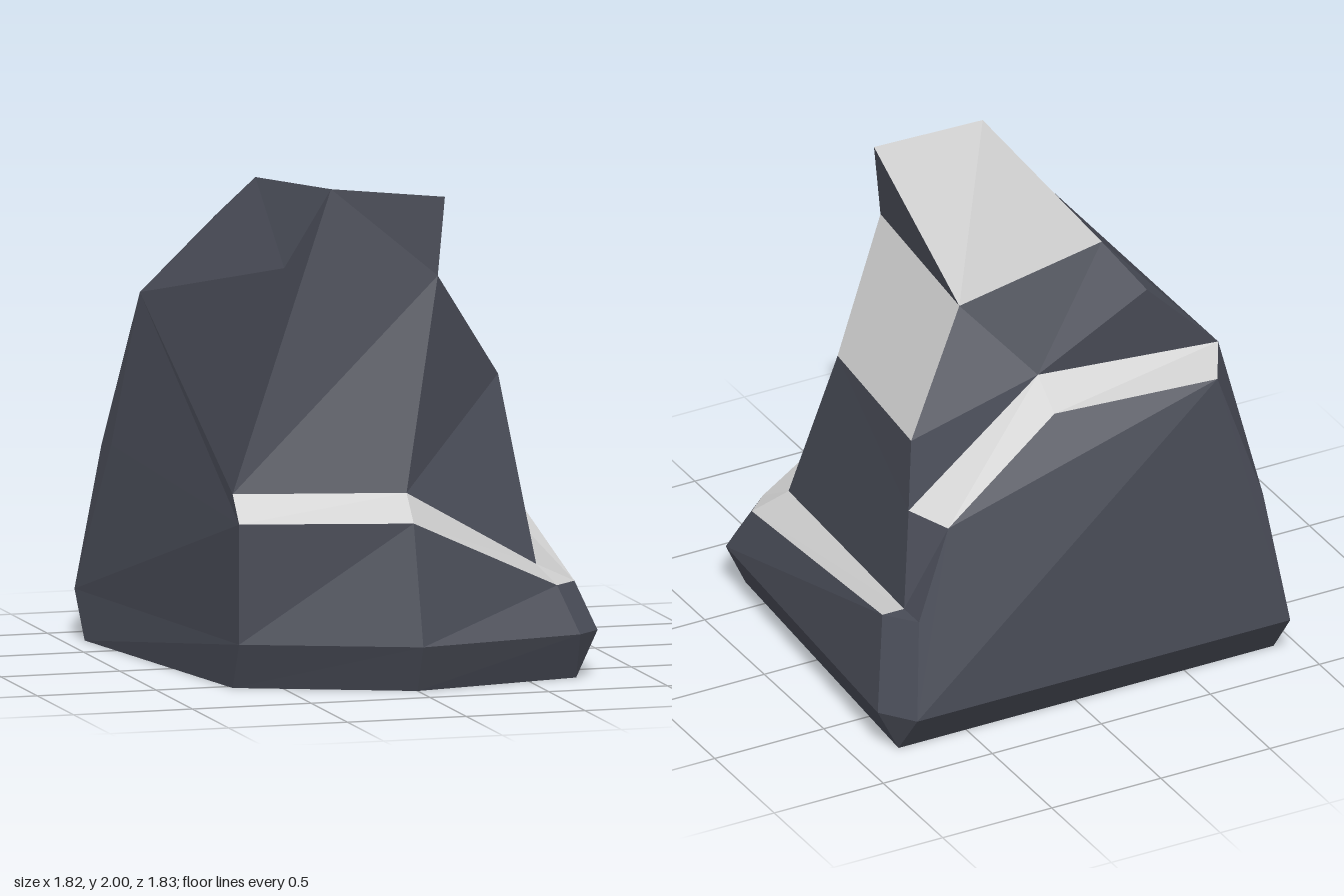
import * as THREE from 'three';

const stone = new THREE.MeshStandardMaterial({ color: 0x484b56, flatShading: true });
const worn = new THREE.MeshStandardMaterial({ color: 0xcccccc, flatShading: true });
const core = new THREE.Vector3(0, 0.3, 0);
const v = (x, y, z) => new THREE.Vector3(x, y, z);

// Triangulates one outward-facing facet from its corner loop
function facet(corners, out) {
  const n = v(0, 0, 0), mid = v(0, 0, 0);
  corners.forEach((p, i) => {
    n.add(p.clone().cross(corners[(i + 1) % corners.length]));
    mid.addScaledVector(p, 1 / corners.length);
  });
  n.normalize();
  if (n.dot(mid.clone().sub(core)) < 0) n.negate();
  const u = (Math.abs(n.y) < 0.9 ? v(0, 1, 0) : v(1, 0, 0)).cross(n).normalize();
  const w = n.clone().cross(u);
  const flat = corners.map(p => new THREE.Vector2(p.dot(u), p.dot(w)));
  for (const t of THREE.ShapeUtils.triangulateShape(flat, [])) {
    let [a, b, c] = t.map(i => corners[i]);
    if (b.clone().sub(a).cross(c.clone().sub(a)).dot(n) < 0) [b, c] = [c, b];
    for (const p of [a, b, c]) out.push(p.x, p.y, p.z);
  }
}

// Facets between two corner rows; repeated corners collapse to triangles
function band(lower, upper) {
  const faces = [];
  for (let i = 0; i < lower.length - 1; i++) {
    faces.push([...new Set([lower[i], lower[i + 1], upper[i + 1], upper[i]])]);
  }
  return faces;
}

export function createModel() {
  const rock = new THREE.Group();
  rock.name = 'rock';
  const part = (name, material, faces) => {
    const out = [];
    faces.forEach(f => facet(f, out));
    const geometry = new THREE.BufferGeometry();
    geometry.setAttribute('position', new THREE.Float32BufferAttribute(out, 3));
    geometry.computeVertexNormals();
    const mesh = new THREE.Mesh(geometry, material);
    mesh.name = name;
    rock.add(mesh);
  };

  // Underside and foot rim, from back left around the front to back right
  const base = [v(-0.91, 0, -0.78), v(-0.69, 0, 0.54), v(0, 0, 0.83), v(0.71, 0, 0.69), v(0.81, 0, -0.78)];
  const rim = [
    v(-0.91, 0.19, -0.92), v(-0.69, 0.19, 0.63), v(0, 0.19, 0.91), v(0.7, 0.19, 0.78),
    v(0.8, 0.19, 0.69), v(0.905, 0.19, -0.78), v(0.8, 0.19, -0.92),
  ];
  const [b0, b1, b2, b3, b4] = base;

  // Front ledge: outer and inner edge, left to right
  const outer = [v(-0.69, 0.68, 0.63), v(-0.01, 0.68, 0.81), v(0.63, 0.38, 0.69), v(0.73, 0.38, 0.6), v(0.835, 0.58, -0.69)];
  const k = v(0.58, 0.45, 0.565);
  const inner = [v(-0.69, 0.79, 0.54), v(-0.01, 0.79, 0.71), k, k, v(0.735, 0.58, -0.69)];
  const ledgeEnd = inner[4];
  const backCorner = v(0.735, 0.58, -0.815);

  // Back ledge: outer and inner edge, left to right
  const backOuter = [v(-0.62, 1.35, -0.84), v(0.04, 1.29, -0.68), v(0.56, 0.93, -0.74)];
  const backInner = [v(-0.705, 1.425, -0.69), v(0.04, 1.4, -0.54), v(0.66, 0.965, -0.59)];
  const chip = [v(-0.81, 0.78, -0.875), v(-0.81, 0.8, -0.74)];

  // Peak, shoulder and the two upper left corners
  const peak = [v(-0.25, 2, 0.455), v(0.205, 1.96, 0.535), v(0.28, 1.675, -0.32), v(-0.28, 1.905, -0.49)];
  const [a, b, c, d] = peak;
  const [e, f, g] = [v(0.175, 1.64, 0.535), v(0.61, 1.24, -0.52), v(0.5, 1.19, 0.3)];
  const h = v(-0.47, 1.7, 0.53), m = v(-0.4, 1.73, -0.65);

  part('underside', worn, [base]);
  part('footBevel', stone, band([b0, b1, b2, b3, b3, b4, b4, b0], [...rim, rim[0]]));
  part('lowerFrontFaces', stone, band(rim.slice(1, 6), outer));
  part('frontLedge', worn, band(outer, inner));
  part('backRightCorner', stone, [
    [outer[4], backCorner, rim[6], rim[5]],
    [ledgeEnd, outer[4], backCorner],
    [ledgeEnd, backOuter[2], backCorner],
    [ledgeEnd, backInner[2], backOuter[2]],
  ]);
  part('backFace', stone, [[...backOuter, backCorner, rim[6], rim[0], chip[0]]]);
  part('backLedge', worn, band(backOuter, backInner));
  part('backLeftChip', stone, [[backOuter[0], backInner[0], chip[1], chip[0]]]);
  part('leftFace', stone, [[backInner[0], chip[1], chip[0], rim[0], rim[1], outer[0], inner[0], h]]);
  part('upperLeftFace', stone, [[a, h, backInner[0], m, d]]);
  part('upperFrontFaces', stone, [[inner[0], inner[1], e, b, a, h], [inner[1], k, g, e], [b, c, e]]);
  part('rightFace', stone, [[k, g, f, backInner[2], ledgeEnd]]);
  part('upperBackFaces', stone, [[c, d, m, backInner[0], backInner[1]], [c, backInner[1], backInner[2], f]]);
  part('peakTop', worn, [peak]);
  part('shoulder', worn, [[e, c, f, g]]);
  return rock;
}
